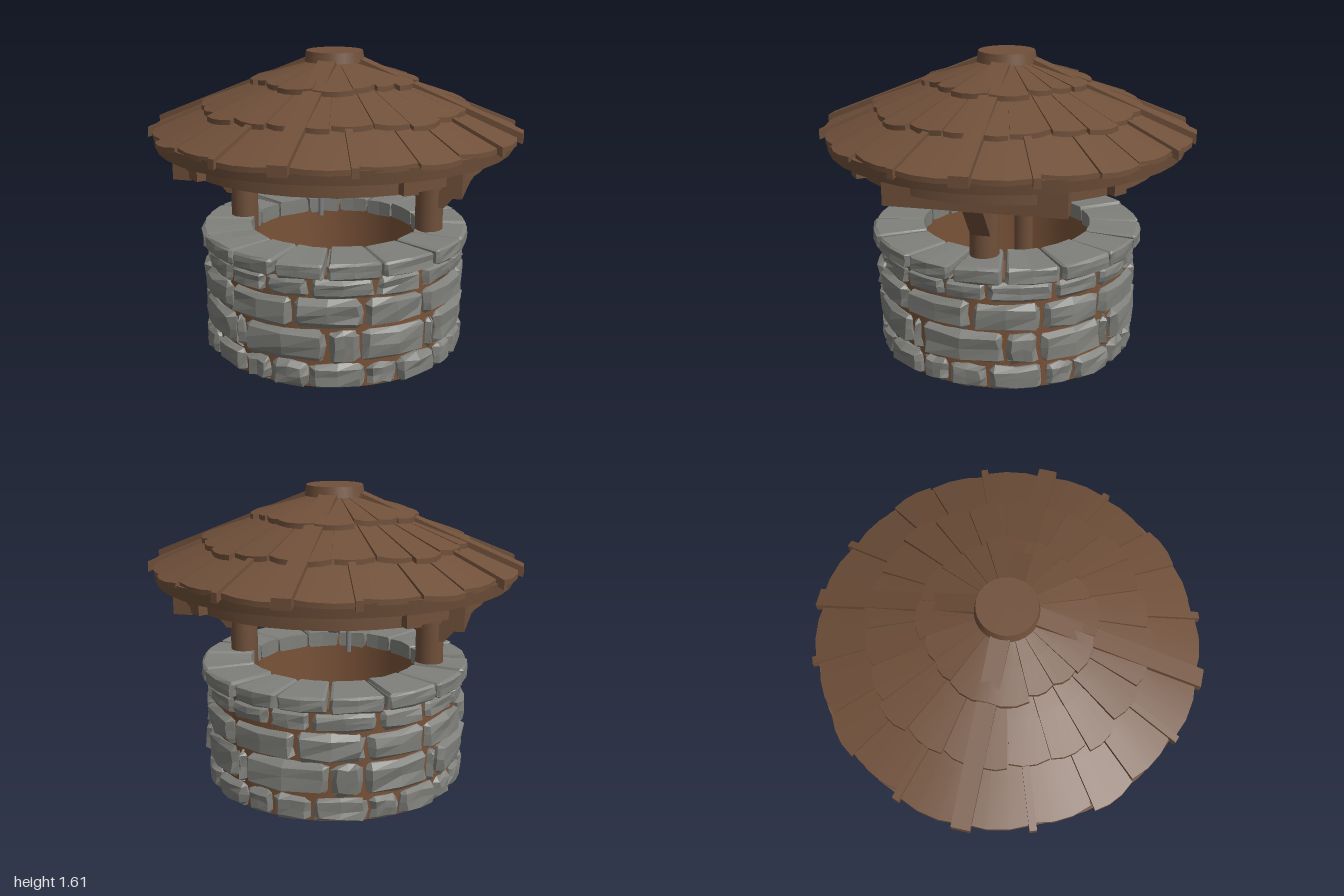
import * as THREE from 'three';
import { mergeGeometries, toCreasedNormals } from 'three/addons/utils/BufferGeometryUtils.js';

const mat = (name, color, flatShading = false) => {
  const m = new THREE.MeshStandardMaterial({ color, flatShading, side: THREE.DoubleSide });
  m.name = name;
  return m;
};
const rad = THREE.MathUtils.degToRad;

// repeatable noise in -1..1 that depends only on its inputs
const noise = (a, b, c, d) => {
  const s = Math.sin(a * 12.99 + b * 78.23 + c * 37.72 + d * 9.17) * 43758.5453;
  return 2 * (s - Math.floor(s)) - 1;
};

// move every vertex of a unit box by a rule
function warpBox(nx, ny, nz, rule) {
  const g = new THREE.BoxGeometry(1, 1, 1, nx, ny, nz);
  const p = g.attributes.position;
  for (let i = 0; i < p.count; i++) p.setXYZ(i, ...rule(p.getX(i), p.getY(i), p.getZ(i)));
  g.computeVertexNormals();
  return g;
}

// chipped stone block bent round the wall, with bevelled outer edges
function stone(a0, a1, y0, y1, r0, r1, bevel, seed) {
  const halfW = rad(a1 - a0) * r1 / 2, halfH = (y1 - y0) / 2;
  return warpBox(4, 4, 2, (u, v, w) => {
    const edgeU = Math.abs(u) > 0.49, edgeV = Math.abs(v) > 0.49;
    let s = u * 2 * halfW, t = v * 2 * halfH;
    if (Math.abs(u) > 0.2 && !edgeU) s = Math.sign(u) * (halfW - bevel);
    if (Math.abs(v) > 0.2 && !edgeV) t = Math.sign(v) * (halfH - bevel * 0.75);
    if (edgeU && edgeV) { s *= 1 - 0.35 * bevel / halfW; t *= 1 - 0.5 * bevel / halfH; }
    const k = bevel * 0.3;
    s += k * noise(u, v, 0, seed);
    t += k * noise(u, v, 3, seed);
    let r = r0 + (w + 0.5) * (r1 - r0);
    if (w > 0.49) r += (edgeU || edgeV ? -bevel : 0) + k * noise(u, v, 7, seed);
    const a = rad((a0 + a1) / 2) + s / r1;
    const y = Math.max(0.001, (y0 + y1) / 2 + t);
    return [r * Math.sin(a), y, r * Math.cos(a)];
  });
}

const roofY = r => 1.605 - 0.412 * r;

// roof board bent over the cone, its lower end raised over the next row
function shingle(a0, a1, r0, r1, lift, seed) {
  const skew = 0.012 * noise(a0, r1, 1, seed), tilt = 0.008 * noise(a1, r0, 2, seed);
  return warpBox(3, 2, 1, (u, v, w) => {
    const down = 0.5 - v;
    const round = Math.abs(u) > 0.49 ? 0.012 : 0;
    const r = r0 + down * (r1 - r0 - round + skew * u * 2);
    const a = rad((a0 + a1) / 2 + u * (a1 - a0 - 0.6));
    const y = roofY(r) + lift * down + (w - 0.5) * 0.026 + tilt * u * down;
    return [r * Math.sin(a), y, r * Math.cos(a)];
  });
}

// straight batten running down the roof slope
function batten(angle, r0, r1, width, top, thick) {
  return warpBox(1, 1, 1, (u, v, w) => {
    const r = r0 + (0.5 - v) * (r1 - r0);
    return [u * width, roofY(r) + top + (w - 0.5) * thick, r];
  }).rotateY(rad(angle));
}

// square-section hoop
function hoop(rIn, rOut, y0, y1, taper = 0) {
  const pts = [[rIn, y0], [rOut - taper, y0], [rOut, y1], [rIn, y1], [rIn, y0]];
  return toCreasedNormals(new THREE.LatheGeometry(pts.map(p => new THREE.Vector2(...p)), 40), 0.5);
}

export function createModel() {
  const wood = mat('wood', 0x70503a);
  const woodFlat = wood;
  const mortar = mat('mortar', 0x7a5338);
  const rock = mat('stone', 0x7f807b, true);
  const iron = mat('iron', 0x7c7e80);
  const model = new THREE.Group();
  model.name = 'well';
  const add = (name, geo, material, x = 0, y = 0, z = 0) => {
    const m = new THREE.Mesh(geo, material);
    m.name = name;
    m.position.set(x, y, z);
    model.add(m);
    return m;
  };

  // hollow mortar core
  const core = [[0, 0], [0.675, 0], [0.675, 0.6], [0.48, 0.62], [0.48, 0.04], [0, 0.04]];
  add('wallCore', toCreasedNormals(
    new THREE.LatheGeometry(core.map(p => new THREE.Vector2(...p)), 48), 0.6), mortar);

  // stone courses; each list of joints covers a quarter turn and repeats
  const courses = [
    { y: [0, 0.128], r: [0.6, 0.71], bevel: 0.028, joints: [-48, -27, -13, 4, 28] },
    { y: [0.142, 0.31], r: [0.6, 0.713], bevel: 0.03, joints: [-27, 11.5, 26, 57] },
    { y: [0.322, 0.468], r: [0.6, 0.71], bevel: 0.03, joints: [-35, -3, 27] },
    { y: [0.48, 0.58], r: [0.6, 0.7], bevel: 0.024, joints: [-35, -15, 4, 32] },
    { y: [0.587, 0.672], r: [0.46, 0.73], bevel: 0.016, joints: [-31, -10, 11, 34] },
  ];
  courses.forEach((c, row) => {
    const blocks = [];
    for (let q = 0; q < 4; q++) c.joints.forEach((j, i) => {
      const next = i + 1 < c.joints.length ? c.joints[i + 1] : c.joints[0] + 90;
      const seed = row * 31 + q * 7 + i;
      const dy = row < 4 ? 0.008 * noise(seed, 1, 2, 3) : 0.004 * noise(seed, 1, 2, 3);
      blocks.push(stone(j + 0.7 + q * 90, next - 0.7 + q * 90,
        row ? c.y[0] + dy : 0, c.y[1] + dy / 2, c.r[0], c.r[1] + dy, c.bevel, seed));
    });
    add(row < 4 ? 'stoneCourse' : 'stoneRim', mergeGeometries(blocks), rock);
  });

  // roof shingles in three overlapping rows
  const rows = [
    { r: [0.5, 0.965], lift: 0.0, joints: [0, 20, 38, 52, 70] },
    { r: [0.27, 0.72], lift: 0.026, joints: [0, 13, 30, 45, 60, 77] },
    { r: [0.1, 0.43], lift: 0.04, joints: [0, 27, 45, 63] },
  ];
  rows.forEach((row, n) => {
    const boards = [];
    for (let q = 0; q < 4; q++) row.joints.forEach((j, i) => {
      const next = row.joints[i + 1] ?? 90;
      const extra = n === 0 && i === 2 ? 0.015 : 0.02 * noise(i, n, 5, 1);
      boards.push(shingle(j + q * 90, next + q * 90, row.r[0], row.r[1] + extra, row.lift, n * 11 + i));
    });
    add('shingleRow', toCreasedNormals(mergeGeometries(boards), 0.5), woodFlat);
  });
  add('roofLining', new THREE.CylinderGeometry(0.1, 0.93, 0.342, 40, 1, true), wood, 0, 1.365, 0);

  // broad ridge battens, narrow eave battens and hidden rafters
  const battens = [];
  for (let q = 0; q < 4; q++) {
    battens.push(batten(q * 90, 0.12, 1, 0.095, 0.03, 0.055));
    for (const a of [20, 70]) battens.push(batten(a + q * 90, 0.62, 0.99, 0.036, 0.018, 0.05));
    for (const a of [0, 30, 60]) battens.push(batten(a + q * 90, 0.1, 0.93, 0.06, -0.03, 0.06));
  }
  add('roofBattens', toCreasedNormals(mergeGeometries(battens), 0.5), wood);
  add('roofCap', new THREE.CylinderGeometry(0.15, 0.16, 0.055, 32), wood, 0, 1.583, 0);

  // two hoops below the eaves
  add('eaveHoop', hoop(0.89, 0.962, 1.125, 1.195, 0.012), wood);
  add('supportHoop', hoop(0.73, 0.812, 1.03, 1.125), wood);

  // posts with side beams, braces and hoop blocks
  for (const s of [1, -1]) {
    add('post', new THREE.CylinderGeometry(0.075, 0.075, 1.26, 20), wood, s * 0.525, 0.67, 0);
    add('sideBeam', new THREE.BoxGeometry(0.1, 0.13, 0.9), wood, s * 0.7, 1.035, 0);
    const shape = new THREE.Shape([[0.57, 0.8], [0.61, 0.8], [0.755, 0.97], [0.755, 1.03], [0.67, 1.03],
      [0.66, 0.97], [0.57, 0.88]].map(p => new THREE.Vector2(s * p[0], p[1])));
    add('brace', new THREE.ExtrudeGeometry(shape, { depth: 0.1, bevelEnabled: false }), wood, 0, 0, -0.05);
    for (const t of [1, -1]) {
      const block = add('hoopBlock', new THREE.BoxGeometry(0.08, 0.09, 0.1), wood, s * 0.51, 1.08, t * 0.63);
      block.rotation.y = s * t * rad(39);
    }
  }

  // pulley hung in the middle
  const rod = (name, r, len, x, y, alongX) => {
    const m = add(name, new THREE.CylinderGeometry(r, r, len, 12), iron, x, y, 0);
    if (alongX) m.rotation.z = Math.PI / 2;
  };
  rod('hanger', 0.022, 0.55, 0.015, 1.245, false);
  rod('upperBar', 0.011, 0.27, 0.005, 0.995, true);
  rod('longArm', 0.014, 0.33, -0.078, 0.86, false);
  rod('shortArm', 0.008, 0.15, 0.13, 0.93, false);
  rod('axle', 0.014, 0.24, 0.035, 0.86, true);
  rod('handleEnd', 0.03, 0.018, 0.148, 0.86, true);
  rod('upperBarEnd', 0.02, 0.015, 0.135, 0.995, true);
  rod('upperBarEnd', 0.02, 0.015, -0.115, 0.995, true);
  rod('axleCollar', 0.025, 0.03, 0.07, 0.86, true);
  const drum = [[0, -0.042], [0.042, -0.042], [0.062, -0.02], [0.062, 0.02], [0.042, 0.042], [0, 0.042]];
  add('pulley', toCreasedNormals(new THREE.LatheGeometry(drum.map(p => new THREE.Vector2(...p)), 20), 0.5),
    iron, 0.005, 0.86, 0).rotation.z = Math.PI / 2;

  return model;
}
